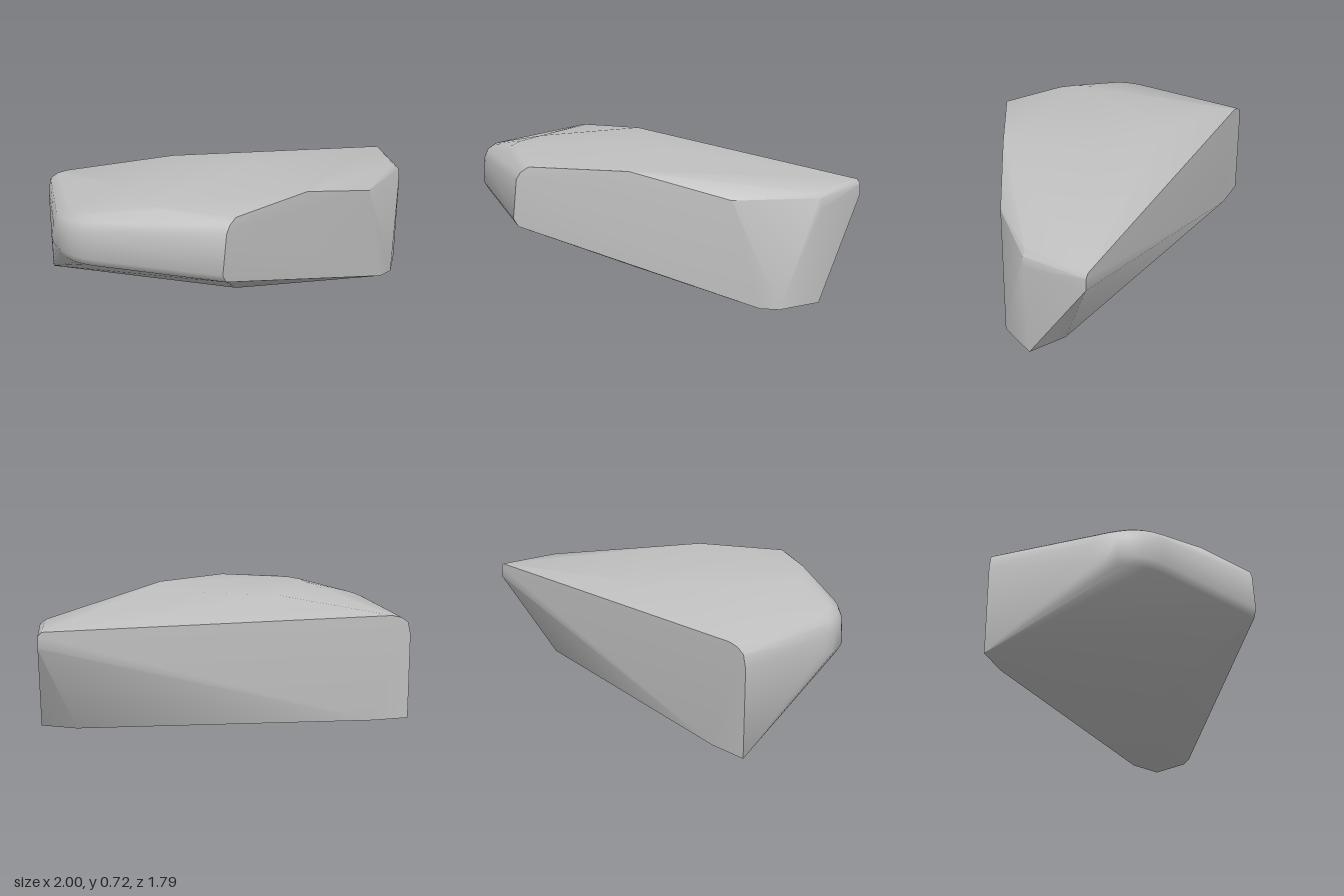
import * as THREE from 'three';
import { ConvexGeometry } from 'three/addons/geometries/ConvexGeometry.js';
import { toCreasedNormals } from 'three/addons/utils/BufferGeometryUtils.js';

const V = (x, y, z) => new THREE.Vector3(x, y, z);

export function createModel() {
  const stone = new THREE.MeshStandardMaterial({ color: 0xc0c0c0 });
  stone.name = 'grey stone';

  // ground footprint
  const base = [
    V(-1, 0, 0.16), V(0.16, 0, 0.15), V(0.95, 0, -0.25), V(1, 0, -0.34),
    V(0.99, 0, -0.58), V(0.77, 0, -0.58), V(-0.81, 0, 0.048),
  ];

  // flat top
  const plateau = [
    V(0.33, 0.72, 0.81), V(-0.05, 0.72, 0.81), V(-0.14, 0.72, 0.78), V(-0.22, 0.72, 0.71),
    V(-0.3, 0.72, 0.57), V(-0.28, 0.72, -0.03), V(0.2, 0.72, -0.02), V(0.6, 0.72, 0.35),
  ];

  // split right face and the far right shoulder
  const right = [
    V(0.298, 0.387, 0.87), V(0.287, 0.43, 0.893), V(0.3, 0.65, 0.872), V(0.31, 0.69, 0.85),
    V(0.87, 0.59, -0.11), V(0.96, 0.61, -0.54), V(0.985, 0.585, -0.56), V(0.992, 0.53, -0.57),
  ];

  // sharp upper edge of the back wall, rounded off at both ends
  const backEdge = [
    [0.83, 0.52], [0.828, 0.585], [0.81, 0.607],
    [-0.9, 0.613], [-0.95, 0.6], [-0.985, 0.572], [-1, 0.5],
  ].map(([x, y]) => V(x, y, 0.16 - 0.579 * (x + 1)));

  // rounded front left corner: lower lip, wall and softened rim
  const corner = new THREE.CubicBezierCurve3(
    V(-0.77, 0, 0.63), V(-0.69, 0, 0.8), V(-0.58, 0, 0.89), V(-0.42, 0, 0.893));
  const rounded = [];
  for (let i = 0; i <= 8; i++) {
    const t = i / 8;
    const p = corner.getPoint(t);
    const inward = V(0.9 - 0.9 * t, 0, -0.25 - 0.75 * t).normalize();
    const rim = (inset, y) => rounded.push(p.clone().addScaledVector(inward, inset).setY(y));
    rim(0.023, 0.387);
    rim(0, 0.43);
    rim(0.012, 0.52 + 0.06 * t);
    rim(0.032, 0.575 + 0.05 * t);
    rim(0.075, 0.607 + 0.045 * t);
  }

  const geometry = toCreasedNormals(
    new ConvexGeometry([...base, ...plateau, ...right, ...backEdge, ...rounded]), 0.65);
  const rock = new THREE.Mesh(geometry, stone);
  rock.name = 'rock';

  const model = new THREE.Group();
  model.name = 'boulder';
  model.add(rock);
  return model;
}
